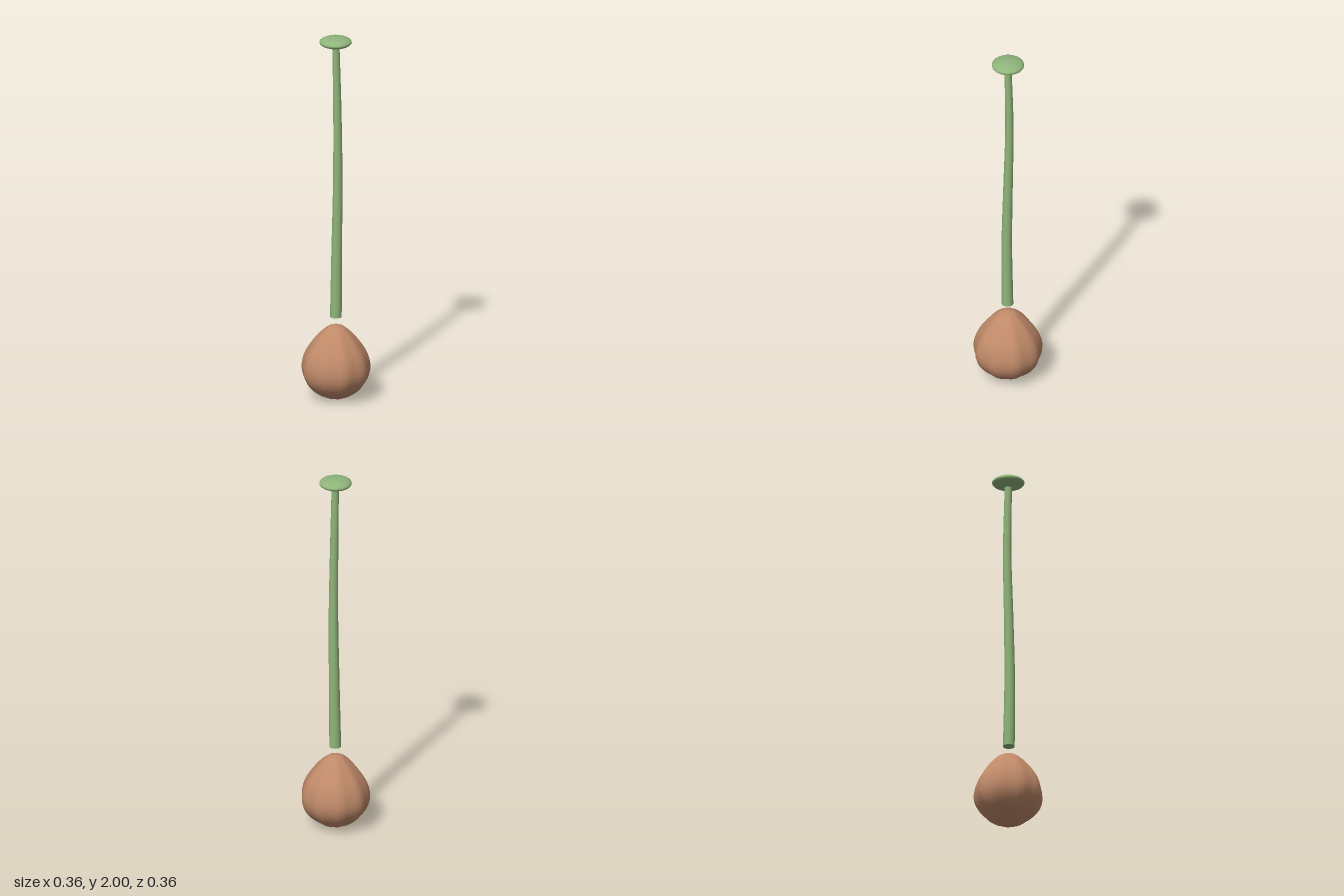
import * as THREE from 'three';
import { mergeVertices } from 'three/addons/utils/BufferGeometryUtils.js';

const CENTRE_X = -0.003;

// Smooth lathe bulb with nine shallow lobes around its axis
function bulbGeometry() {
  const outline = [
    [0, 0], [0.06, 0.011], [0.115, 0.045], [0.15, 0.082], [0.171, 0.122],
    [0.178, 0.165], [0.172, 0.21], [0.156, 0.255], [0.129, 0.3],
    [0.095, 0.345], [0.057, 0.383], [0.03, 0.399], [0, 0.405],
  ].map(([r, y]) => new THREE.Vector2(r, y));
  const profile = new THREE.SplineCurve(outline).getPoints(36);
  profile.forEach((p) => { p.x = Math.max(0, p.x); p.y = Math.max(0, p.y); });
  profile[0].x = profile[profile.length - 1].x = 0;
  let geo = new THREE.LatheGeometry(profile, 40, Math.PI / 2);
  const pos = geo.attributes.position;
  for (let i = 0; i < pos.count; i++) {
    const x = pos.getX(i), z = pos.getZ(i);
    const k = 1 + 0.028 * Math.cos(9 * Math.atan2(z, x));
    pos.setXYZ(i, x * k, pos.getY(i), z * k);
  }
  // Weld the seam and poles so the shading is continuous
  geo.deleteAttribute('uv');
  geo.deleteAttribute('normal');
  geo = mergeVertices(geo, 1e-5);
  geo.computeVertexNormals();
  return geo;
}

// Tapered cylinder whose rings follow a gently swaying path
function stemGeometry() {
  const path = new THREE.CatmullRomCurve3([
    [0, 0.45, 0.002], [0.004, 0.83, 0.007], [0.01, 1.2, 0.002],
    [0.009, 1.58, -0.006], [0, 1.975, 0],
  ].map((p) => new THREE.Vector3(...p)));
  const height = 1.525;
  const geo = new THREE.CylinderGeometry(0.019, 0.031, height, 16, 24);
  const pos = geo.attributes.position;
  for (let i = 0; i < pos.count; i++) {
    const c = path.getPoint(THREE.MathUtils.clamp(pos.getY(i) / height + 0.5, 0, 1));
    pos.setXYZ(i, pos.getX(i) + c.x, c.y, pos.getZ(i) + c.z);
  }
  return geo;
}

export function createModel() {
  const brown = new THREE.MeshStandardMaterial({ color: 0xc08a69 });
  brown.name = 'bulbBrown';
  const green = new THREE.MeshStandardMaterial({ color: 0x8fb57b });
  green.name = 'stemGreen';

  const group = new THREE.Group();
  group.name = 'sproutingBulb';
  const add = (name, geometry, material) => {
    const mesh = new THREE.Mesh(geometry, material);
    mesh.name = name;
    mesh.position.x = CENTRE_X;
    group.add(mesh);
    return mesh;
  };

  add('bulb', bulbGeometry(), brown);
  add('stem', stemGeometry(), green);

  // Flattened button on top of the stem
  const cap = add('cap', new THREE.SphereGeometry(0.085, 32, 20), green);
  cap.scale.y = 0.33;
  cap.position.set(CENTRE_X - 0.001, 1.972, -0.001);
  return group;
}
